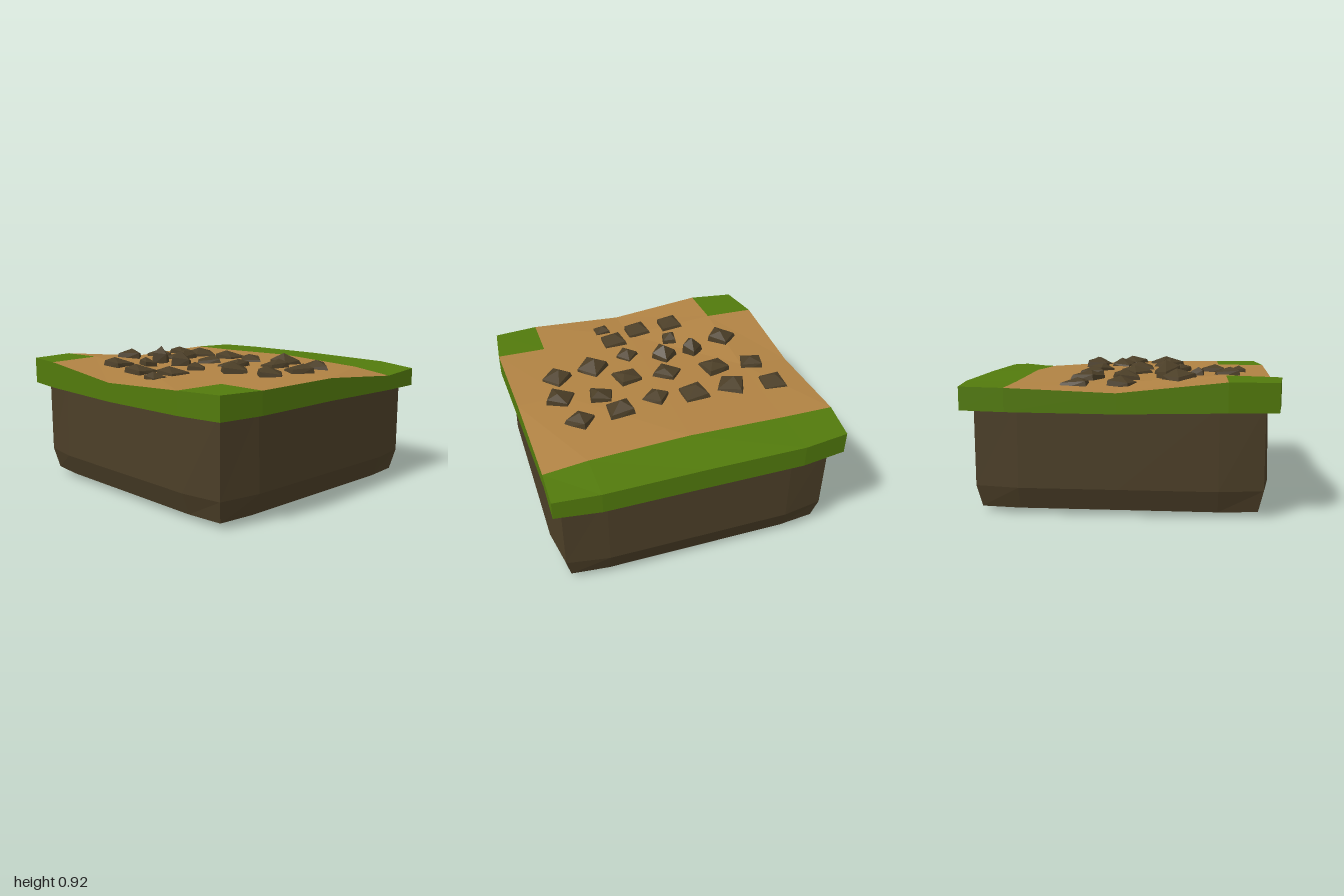
import * as THREE from 'three';
import { ConvexGeometry } from 'three/addons/geometries/ConvexGeometry.js';

const material = (name, color) => {
  const m = new THREE.MeshStandardMaterial({ color, flatShading: true });
  m.name = name;
  return m;
};

// Ground surface: 5 x 5 control points, rows from back to front
const LEFT = [-0.955, -1, -1, -1, -0.955];
const RIGHT = [0.945, 0.94, 0.965, 0.99, 0.96];
const ROWS = [-1, -0.67, 0, 0.655, 1];
const HEIGHT = [
  [0.80, 0.80, 0.80, 0.79, 0.77],
  [0.80, 0.80, 0.81, 0.78, 0.745],
  [0.775, 0.80, 0.81, 0.81, 0.80],
  [0.845, 0.85, 0.80, 0.80, 0.80],
  [0.84, 0.84, 0.77, 0.80, 0.805],
];
const GROUND = HEIGHT.map((row, r) => row.map((h, c) => {
  const x = [LEFT[r], -0.65, 0, 0.655, RIGHT[r]][c];
  const corner = r % 4 === 0 && c % 4 === 0;
  return new THREE.Vector3(x, h, corner ? Math.sign(ROWS[r]) * 0.957 : ROWS[r]);
}));

// Grid indices [row, column] round the edge, anticlockwise from above
const EDGE = [];
for (let i = 0; i < 4; i++) EDGE.push([4, i]);
for (let i = 4; i > 0; i--) EDGE.push([i, 4]);
for (let i = 4; i > 0; i--) EDGE.push([0, i]);
for (let i = 0; i < 4; i++) EDGE.push([i, 0]);

function fromTriangles(points) {
  const g = new THREE.BufferGeometry().setFromPoints(points);
  g.computeVertexNormals();
  return g;
}

// Skin between closed rings, listed from the underside upwards
function loft(rings) {
  const out = [];
  for (let k = 0; k + 1 < rings.length; k++) {
    const lo = rings[k], hi = rings[k + 1], n = lo.length;
    for (let i = 0; i < n; i++) {
      const j = (i + 1) % n;
      if (lo[i].distanceTo(lo[j]) > 1e-6) out.push(lo[i], lo[j], hi[j]);
      out.push(lo[i], hi[j], hi[i]);
    }
  }
  return fromTriangles(out);
}

// Surface patches picked by a rule on the cell's row and column
function patch(pick) {
  const out = [];
  for (let r = 0; r < 4; r++) for (let c = 0; c < 4; c++) {
    if (!pick(r, c)) continue;
    const a = GROUND[r][c], b = GROUND[r + 1][c], d = GROUND[r + 1][c + 1], e = GROUND[r][c + 1];
    out.push(a, b, d, a, d, e);
  }
  return fromTriangles(out);
}

// Square ring with softened corners
function bodyRing(edge, corner, mid, y) {
  return EDGE.map(([r, c]) => {
    const end = r % 4 === 0 && c % 4 === 0 ? corner : edge;
    const at = [-end, -mid, 0, mid, end];
    return new THREE.Vector3(at[c], y, at[r]);
  });
}

// Surface height by bilinear interpolation
function groundY(x, z) {
  const cols = [-1, -0.65, 0, 0.655, 1];
  const cell = (list, v) => {
    let i = 0;
    while (i < 3 && v > list[i + 1]) i++;
    return [i, (v - list[i]) / (list[i + 1] - list[i])];
  };
  const [c, u] = cell(cols, x), [r, v] = cell(ROWS, z);
  const mix = THREE.MathUtils.lerp;
  return mix(mix(HEIGHT[r][c], HEIGHT[r][c + 1], u), mix(HEIGHT[r + 1][c], HEIGHT[r + 1][c + 1], u), v);
}

// Stones: x, z, half diagonal, turn in degrees, height
const STONES = [
  [-0.765, -0.28, 0.12, 3, 0.05], [-0.47, -0.235, 0.125, 28, 0.06], [-0.19, -0.25, 0.125, -6, 0.055],
  [0.07, -0.21, 0.105, 43, 0.05], [0.34, -0.275, 0.12, -2, 0.08], [0.61, -0.285, 0.11, 45, 0.06],
  [-0.72, 0.01, 0.115, 17, 0.055], [-0.44, 0.02, 0.125, -10, 0.06], [-0.1, 0.06, 0.12, 40, 0.05],
  [0.185, 0.085, 0.125, -10, 0.05], [0.415, -0.075, 0.11, 14, 0.06], [0.68, -0.015, 0.12, 28, 0.055],
  [-0.64, 0.365, 0.12, 43, 0.06], [-0.375, 0.28, 0.08, 48, 0.105], [-0.155, 0.275, 0.1, 45, 0.09],
  [0.1, 0.36, 0.09, 43, 0.05], [0.38, 0.27, 0.125, 42, 0.07], [0.65, 0.22, 0.115, 45, 0.06],
  [-0.265, 0.475, 0.07, 10, 0.05], [-0.335, 0.67, 0.115, -4, 0.05], [-0.075, 0.685, 0.12, -4, 0.05],
  [0.14, 0.59, 0.12, -4, 0.05], [0.185, 0.775, 0.08, -4, 0.045],
];

// Chipped block: wide foot, sloping shoulder and an off-centre peak
function stoneGeometry([, , r, turn, h], n) {
  const jitter = (k) => Math.sin(n * 12.9 + k * 4.7);
  const points = [new THREE.Vector3(0.2 * r * jitter(9), h, 0.2 * r * jitter(11))];
  for (let k = 0; k < 4; k++) {
    const a = THREE.MathUtils.degToRad(45 + turn + 90 * k + 6 * jitter(k));
    const foot = r * (1 + 0.08 * jitter(k + 5));
    const top = foot * (0.86 + 0.1 * jitter(k + 7));
    points.push(new THREE.Vector3(foot * Math.cos(a), -0.03, foot * Math.sin(a)));
    points.push(new THREE.Vector3(top * Math.cos(a), h * (0.4 + 0.2 * jitter(k + 2)), top * Math.sin(a)));
  }
  return new ConvexGeometry(points);
}

export function createModel() {
  const grass = material('grass green', 0x527a0c);
  const path = material('sandy path', 0xb08243);
  const earth = material('dark earth', 0x4b3e27);
  const model = new THREE.Group();
  model.name = 'groundTile';
  const add = (parent, name, geometry, mat) => {
    const mesh = new THREE.Mesh(geometry, mat);
    mesh.name = name;
    parent.add(mesh);
    return mesh;
  };

  // Earth block with a slightly bulging underside
  add(model, 'earthBlock', loft([
    bodyRing(0, 0, 0, 0),
    bodyRing(0.61, 0.61, 0.61, 0.006),
    bodyRing(0.88, 0.855, 0.61, 0.035),
    bodyRing(0.93, 0.885, 0.61, 0.175),
    bodyRing(0.92, 0.885, 0.61, 0.69),
  ]), earth);

  // Overhanging turf rim
  const rim = EDGE.map(([r, c]) => GROUND[r][c]);
  const lip = rim.map((p) => new THREE.Vector3(p.x, 0.655 + 0.2 * (p.y - 0.8), p.z));
  const inner = lip.map((p) => new THREE.Vector3(p.x * 0.88, p.y + 0.012, p.z * 0.88));
  add(model, 'turfRim', loft([inner, lip, rim]), grass);

  // Turf at the back and front corners, path between
  const isTurf = (r, c) => r === 0 || (r === 3 && c % 3 === 0);
  add(model, 'turfTop', patch(isTurf), grass);
  add(model, 'pathTop', patch((r, c) => !isTurf(r, c)), path);

  // Scattered stones
  const stones = new THREE.Group();
  stones.name = 'stones';
  STONES.forEach((s, n) => {
    add(stones, 'stone', stoneGeometry(s, n), earth).position.set(s[0], groundY(s[0], s[1]), s[1]);
  });
  model.add(stones);
  return model;
}
